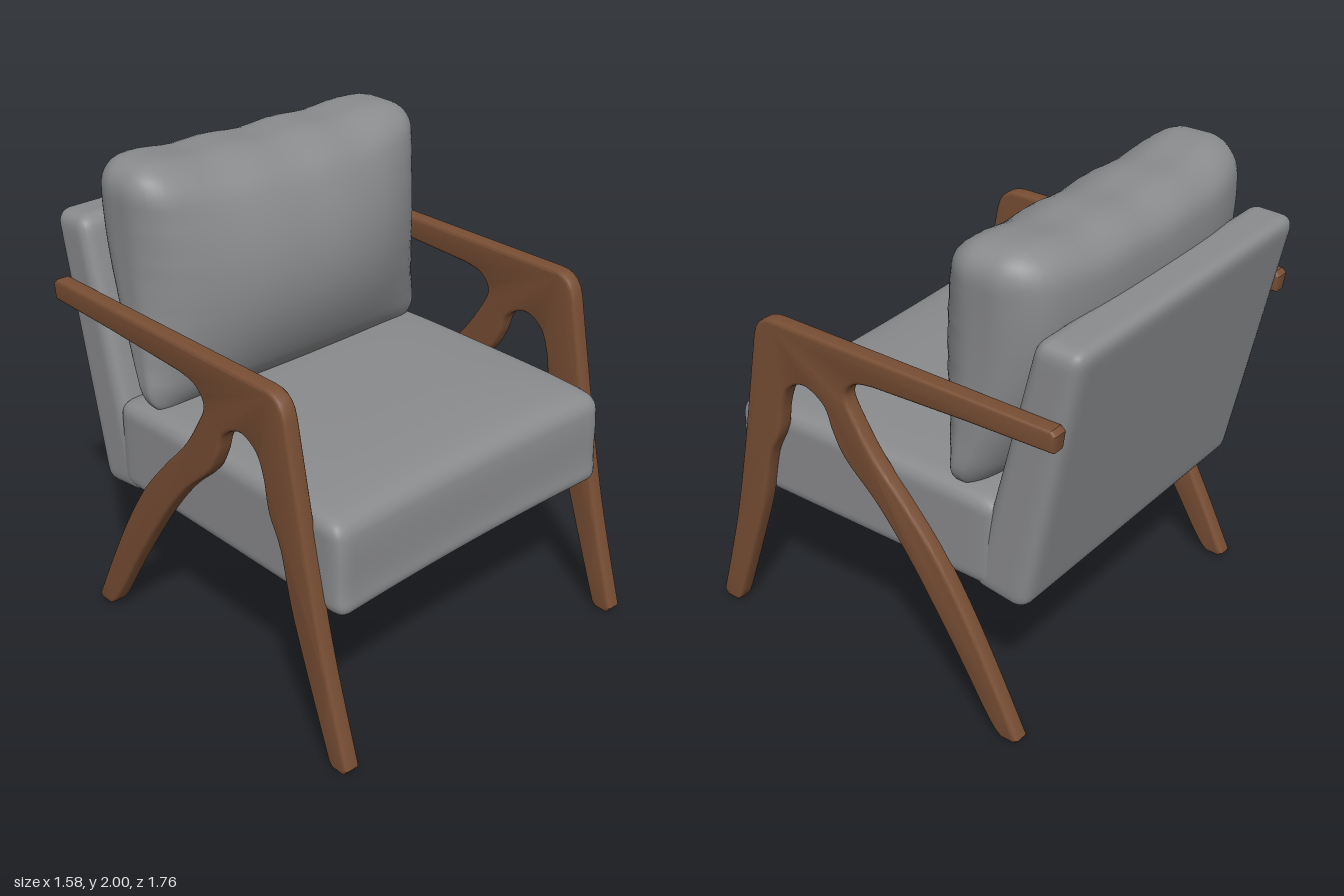
import * as THREE from 'three';
import { mergeVertices, toCreasedNormals } from 'three/addons/utils/BufferGeometryUtils.js';

const { lerp } = THREE.MathUtils;
const fabric = new THREE.MeshStandardMaterial({ color: 0x8a8b8d });
fabric.name = 'grey fabric';
const wood = new THREE.MeshStandardMaterial({ color: 0x784e34 });
wood.name = 'brown wood';

// Soft rounded block; warp(u, v, t, p) moves each point, u v t run -1..1 over x y z
function softBlock(name, w, h, d, r, warp) {
  let g = new THREE.BoxGeometry(2, 2, 2, 32, 32, 20);
  g.deleteAttribute('uv');
  g.deleteAttribute('normal');
  g = mergeVertices(g, 1e-4);
  const pos = g.attributes.position;
  const half = new THREE.Vector3(w / 2, h / 2, d / 2);
  const core = half.clone().subScalar(r);
  const p = new THREE.Vector3(), q = new THREE.Vector3();
  const ease = (a) => Math.sin(a * Math.PI / 2); // more points near the edges
  for (let i = 0; i < pos.count; i++) {
    p.set(ease(pos.getX(i)), ease(pos.getY(i)), ease(pos.getZ(i))).multiply(half);
    q.copy(p).clamp(core.clone().negate(), core);
    p.sub(q).setLength(r).add(q);
    warp(p.x / half.x, p.y / half.y, p.z / half.z, p);
    pos.setXYZ(i, p.x, p.y, p.z);
  }
  g.computeVertexNormals();
  const mesh = new THREE.Mesh(g, fabric);
  mesh.name = name;
  return mesh;
}

// Side frame outline in (z, y): armrest, front leg and slanted back leg in one piece
function frameGeometry() {
  const pts = (list) => list.map(([z, y]) => new THREE.Vector2(z, y));
  const s = new THREE.Shape();
  s.moveTo(0.81, 0);
  s.lineTo(0.87, 0);
  s.lineTo(0.89, 0.025);
  s.splineThru(pts([[0.77, 0.44], [0.69, 0.785], [0.63, 1.08], [0.575, 1.36]]));
  s.bezierCurveTo(0.56, 1.43, 0.52, 1.455, 0.46, 1.455);
  s.lineTo(-0.81, 1.447);
  s.lineTo(-0.83, 1.43);
  s.lineTo(-0.82, 1.36);
  s.lineTo(-0.45, 1.352);
  s.lineTo(-0.02, 1.335);
  s.splineThru(pts([[0.07, 1.315], [0.117, 1.25], [0.07, 1.15], [-0.02, 1.02], [-0.14, 0.895],
    [-0.29, 0.72], [-0.42, 0.52], [-0.55, 0.28], [-0.68, 0.02]]));
  s.lineTo(-0.66, 0.005);
  s.lineTo(-0.6, 0.005);
  s.splineThru(pts([[-0.54, 0.07], [-0.38, 0.33], [-0.18, 0.63], [-0.02, 0.83], [0.13, 0.97],
    [0.19, 1.07], [0.23, 1.17], [0.325, 1.22], [0.41, 1.18], [0.45, 1.09], [0.475, 0.96],
    [0.535, 0.83], [0.59, 0.6], [0.68, 0.33], [0.79, 0.02]]));
  s.closePath();
  const bevel = 0.014, width = 0.07;
  const g = new THREE.ExtrudeGeometry(s, {
    depth: width - 2 * bevel, bevelThickness: bevel, bevelSize: bevel, bevelOffset: -bevel,
    bevelSegments: 3, curveSegments: 5,
  });
  g.translate(0, 0, -(width / 2 - bevel));
  g.rotateY(-Math.PI / 2);
  return toCreasedNormals(g, 0.6);
}

export function createModel() {
  const chair = new THREE.Group();
  chair.name = 'armchair';

  // Wooden side frames
  const frame = frameGeometry();
  for (const side of [-1, 1]) {
    const mesh = new THREE.Mesh(frame, wood);
    mesh.name = side > 0 ? 'leftFrame' : 'rightFrame';
    mesh.position.x = side * 0.757;
    chair.add(mesh);
  }

  // Seat: crowned top and a slightly hollow front edge
  chair.add(softBlock('seat', 1.47, 0.39, 1.3, 0.06, (u, v, t, p) => {
    const up = (v + 1) / 2, front = (t + 1) / 2;
    const top = 1.0 + 0.04 * (1 - t ** 4) * (1 - 0.6 * u ** 4);
    p.y = lerp(0.612, top, up);
    p.z = lerp(-0.53, 0.755 + 0.02 * u * u - 0.015 * u - 0.02 * v * v * v, front);
  }));

  // Leaning back rest, thinner towards the top
  chair.add(softBlock('backRest', 1.46, 1.14, 0.24, 0.06, (u, v, t, p) => {
    const up = (v + 1) / 2, front = (t + 1) / 2;
    p.z = lerp(lerp(-0.655, -0.885, up), lerp(-0.4, -0.685, up), front);
    p.y = lerp(lerp(0.57, 1.715, up), lerp(0.605, 1.725, up), front);
  }));

  // Plump loose cushion with a sagging top edge and soft creases at the sides
  chair.add(softBlock('backCushion', 1.46, 1.0, 0.36, 0.13, (u, v, t, p) => {
    const up = (v + 1) / 2;
    const edge = Math.abs(u) ** 2.5;
    const crease = 0.006 * Math.sin(26 * v + 5 * u) * u ** 6 * (1 - v * v);
    const front = -0.29 + 0.19 * (1 - edge) * (1 - v * v) + crease;
    const back = -0.46 - 0.27 * Math.sin(v + 1) + 0.1 * u ** 4;
    p.z = lerp(back, front, (t + 1) / 2);
    p.x = p.x * (1 - 0.025 * (1 - v * v)) + 0.005;
    const top = 1.962 + 0.035 * u * u - 0.012 * u + 0.006 * Math.cos(13 * u - 3);
    p.y = lerp(0.985, top, up);
  }));

  return chair;
}
